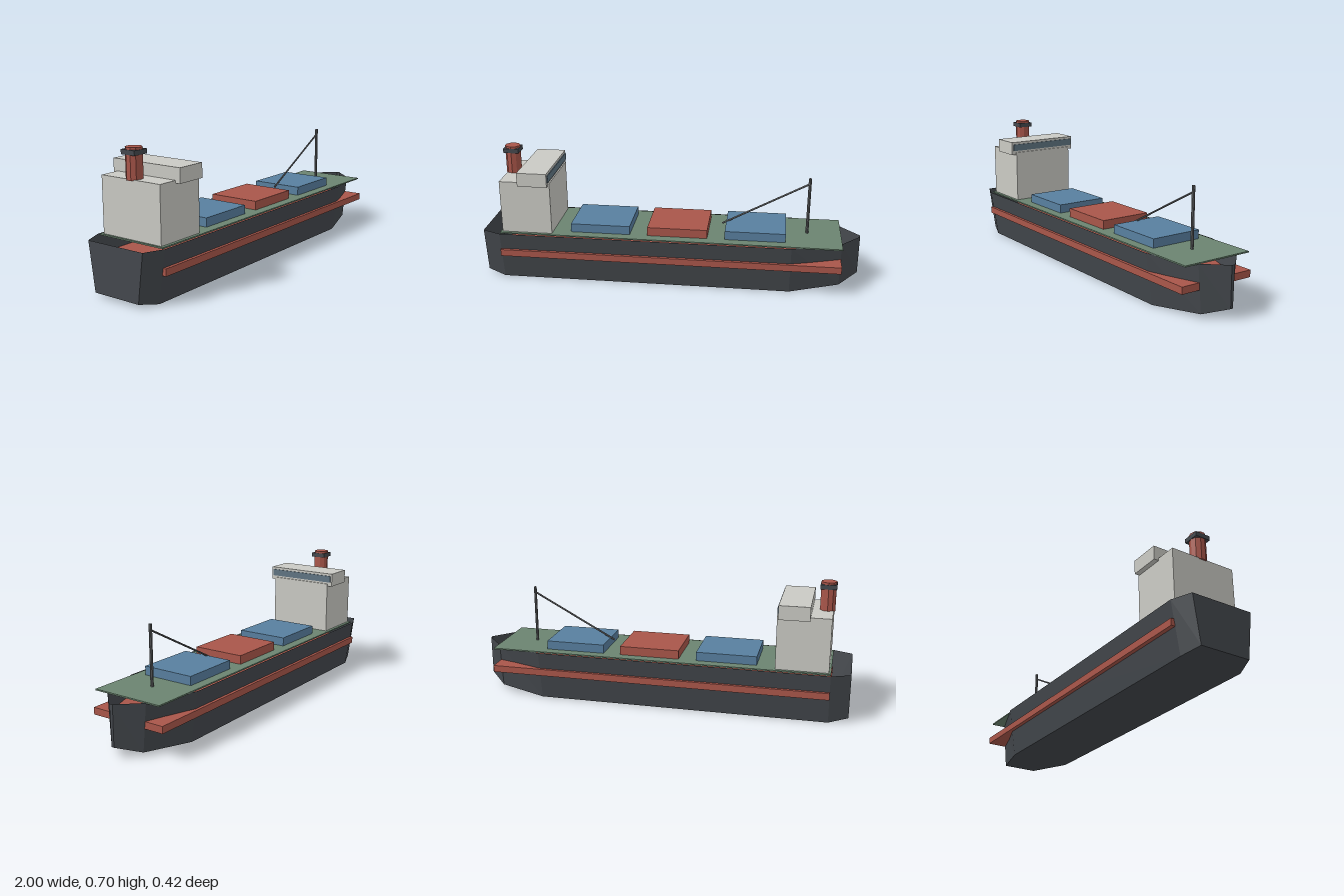
import * as THREE from 'three';

const mat = (name, color, extra = {}) => {
  const m = new THREE.MeshStandardMaterial({ color, flatShading: true, ...extra });
  m.name = name;
  return m;
};

// Open-topped hull lofted through stations: [x, keelY, half beam at keel, half beam at rim]
function hullGeometry(stations, rimY) {
  const sections = stations.map(([x, y, keel, rim]) => [
    [x, rimY, rim], [x, y, keel], [x, y, -keel], [x, rimY, -rim],
  ]);
  const pos = [];
  const quad = (a, b, c, d) => pos.push(...a, ...b, ...c, ...a, ...c, ...d);
  for (let i = 0; i < sections.length - 1; i++) {
    const s = sections[i], t = sections[i + 1];
    for (let k = 0; k < 3; k++) quad(s[k], s[k + 1], t[k + 1], t[k]);
  }
  const stern = sections[0], bow = sections[sections.length - 1];
  quad(stern[3], stern[2], stern[1], stern[0]);
  quad(bow[0], bow[1], bow[2], bow[3]);
  const g = new THREE.BufferGeometry();
  g.setAttribute('position', new THREE.Float32BufferAttribute(pos, 3));
  g.computeVertexNormals();
  return g;
}

export function createModel() {
  const ship = new THREE.Group();
  ship.name = 'cargoShip';

  const hullGrey = mat('hullGrey', 0x44484d, { side: THREE.DoubleSide });
  const red = mat('red', 0xa9564a);
  const deckGreen = mat('deckGreen', 0x6b8470);
  const houseWhite = mat('houseWhite', 0xcacac4);
  const hatchBlue = mat('hatchBlue', 0x587f9f);
  const glass = mat('glass', 0x5f7482);
  const mastGrey = mat('mastGrey', 0x66686a);

  const add = (name, geometry, material) => {
    const m = new THREE.Mesh(geometry, material);
    m.name = name;
    ship.add(m);
    return m;
  };
  // Box given by its x and y ranges, centred across the beam
  const box = (name, x0, x1, y0, y1, halfZ, material) => {
    const m = add(name, new THREE.BoxGeometry(x1 - x0, y1 - y0, 2 * halfZ), material);
    m.position.set((x0 + x1) / 2, (y0 + y1) / 2, 0);
    return m;
  };
  // Round bar between two points
  const bar = (name, a, b, r, sides, material) => {
    const from = new THREE.Vector3(...a), dir = new THREE.Vector3(...b).sub(from);
    const m = add(name, new THREE.CylinderGeometry(r, r, dir.length(), sides), material);
    m.position.copy(from).addScaledVector(dir, 0.5);
    m.quaternion.setFromUnitVectors(new THREE.Vector3(0, 1, 0), dir.normalize());
    return m;
  };

  // Hull, rubbing band and deck
  add('hull', hullGeometry([
    [-1, 0.02, 0.134, 0.167],
    [-0.9, 0, 0.168, 0.209],
    [0.64, 0, 0.168, 0.209],
    [0.9, 0.02, 0.094, 0.118],
    [1, 0.057, 0.007, 0.009],
  ], 0.265), hullGrey);
  box('hullBand', -0.9, 0.9, 0.138, 0.174, 0.211, red);
  box('deck', -0.9, 0.9, 0.262, 0.269, 0.195, deckGreen);

  // Cargo hatches
  [-0.367, 0.043, 0.451].forEach((x, i) =>
    box('cargoHatch', x - 0.158, x + 0.158, 0.267, 0.315, 0.142, i === 1 ? red : hatchBlue));

  // Deckhouse, bridge and its window strip
  box('deckhouse', -0.89, -0.621, 0.267, 0.55, 0.178, houseWhite);
  box('bridge', -0.785, -0.628, 0.537, 0.61, 0.204, houseWhite);
  box('bridgeWindow', -0.629, -0.623, 0.56, 0.597, 0.195, glass);

  // Funnel with square collar
  bar('funnel', [-0.859, 0.545, 0], [-0.859, 0.696, 0], 0.04, 10, red);
  box('funnelCollar', -0.9, -0.818, 0.662, 0.685, 0.041, hullGrey);

  // Mast and cargo boom
  bar('mast', [0.722, 0.265, 0], [0.722, 0.575, 0], 0.008, 8, mastGrey);
  bar('cargoBoom', [0.272, 0.302, 0], [0.722, 0.545, 0], 0.005, 6, mastGrey);

  return ship;
}
